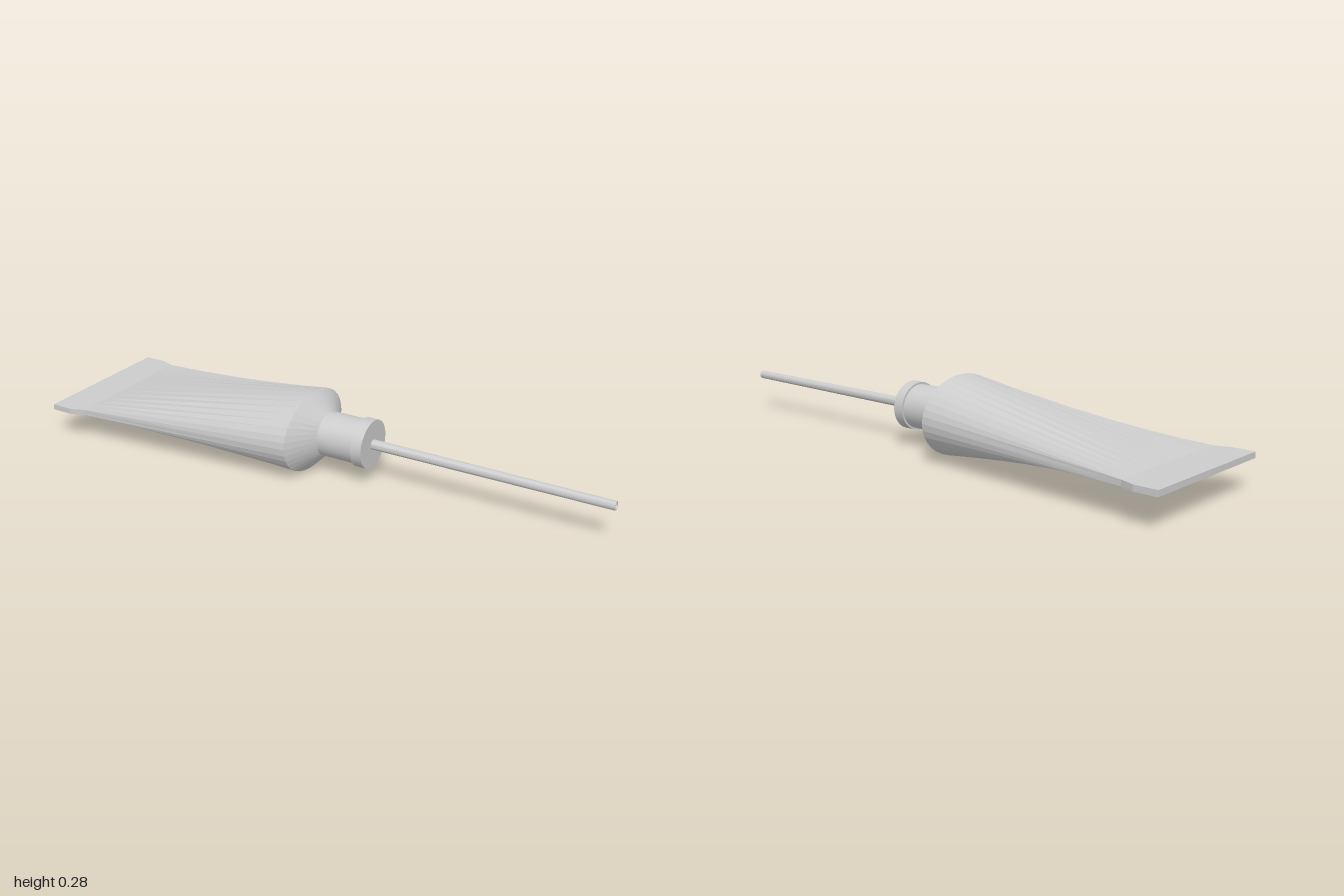
import * as THREE from 'three';
import { toCreasedNormals } from 'three/addons/utils/BufferGeometryUtils.js';

const AXIS_Y = 0.14;
const SIDES = 36;

// One ring of the tube body: box > 0 gives a flat rectangle, otherwise an ellipse
function ring({ x, y, ry, rz, flat }) {
  const clamp = (v) => Math.max(-1, Math.min(1, v));
  return Array.from({ length: SIDES }, (_, j) => {
    const a = (j / SIDES) * Math.PI * 2;
    const s = flat ? clamp(Math.sin(a) * 6) : Math.sin(a);
    const c = flat ? clamp(Math.cos(a) * 1.03) : Math.cos(a);
    return [x, y + ry * s, rz * c];
  });
}

// Skin the rings in order along +x and close both ends
function loft(sections) {
  const rings = sections.map(ring);
  const pos = rings.flat(2);
  const idx = [];
  for (let i = 0; i < rings.length - 1; i++) {
    for (let j = 0; j < SIDES; j++) {
      const k = (j + 1) % SIDES;
      const a = i * SIDES + j, b = i * SIDES + k;
      const c = a + SIDES, d = b + SIDES;
      idx.push(a, c, b, b, c, d);
    }
  }
  const last = (rings.length - 1) * SIDES;
  for (let j = 1; j < SIDES - 1; j++) {
    idx.push(0, j, j + 1, last, last + j + 1, last + j);
  }
  const geo = new THREE.BufferGeometry();
  geo.setAttribute('position', new THREE.Float32BufferAttribute(pos, 3));
  geo.setIndex(idx);
  geo.computeVertexNormals();
  return geo;
}

// Turned part along the x axis from [x, radius] pairs
function turned(name, profile, segments, material, zScale = 1) {
  const lathe = new THREE.LatheGeometry(profile.map(([x, r]) => new THREE.Vector2(r, x)), segments);
  lathe.rotateZ(-Math.PI / 2);
  lathe.scale(1, 1, zScale);
  const mesh = new THREE.Mesh(toCreasedNormals(lathe, 0.6), material);
  mesh.name = name;
  mesh.position.y = AXIS_Y;
  return mesh;
}

export function createModel() {
  const group = new THREE.Group();
  group.name = 'squeezeTube';
  const smooth = new THREE.MeshStandardMaterial({ color: 0xcccccc });
  const faceted = new THREE.MeshStandardMaterial({ color: 0xcccccc, flatShading: true });

  // Crimped flat tail, swelling to an oval and closing in at the shoulder
  const body = new THREE.Mesh(loft([
    { x: -1, y: 0.115, ry: 0.01, rz: 0.27, flat: true },
    { x: -0.92, y: 0.115, ry: 0.01, rz: 0.27, flat: true },
    { x: -0.87, y: 0.115, ry: 0.01, rz: 0.252, flat: true },
    { x: -0.06, y: AXIS_Y, ry: 0.138, rz: 0.191 },
    { x: 0, y: AXIS_Y, ry: 0.077, rz: 0.08 },
  ]), faceted);
  body.name = 'tubeBody';
  group.add(body);

  // Neck with a collar at its end
  group.add(turned('neck', [[-0.01, 0.077], [0.135, 0.077]], 36, smooth, 1.04));
  group.add(turned('collar', [
    [0.133, 0], [0.133, 0.084], [0.172, 0.084], [0.172, 0],
  ], 36, smooth, 1.04));

  // Long thin hollow nozzle, slightly tapered
  group.add(turned('nozzle', [
    [0.165, 0.0175], [1, 0.015], [1, 0.011], [0.2, 0.012], [0.2, 0],
  ], 20, smooth));
  return group;
}
